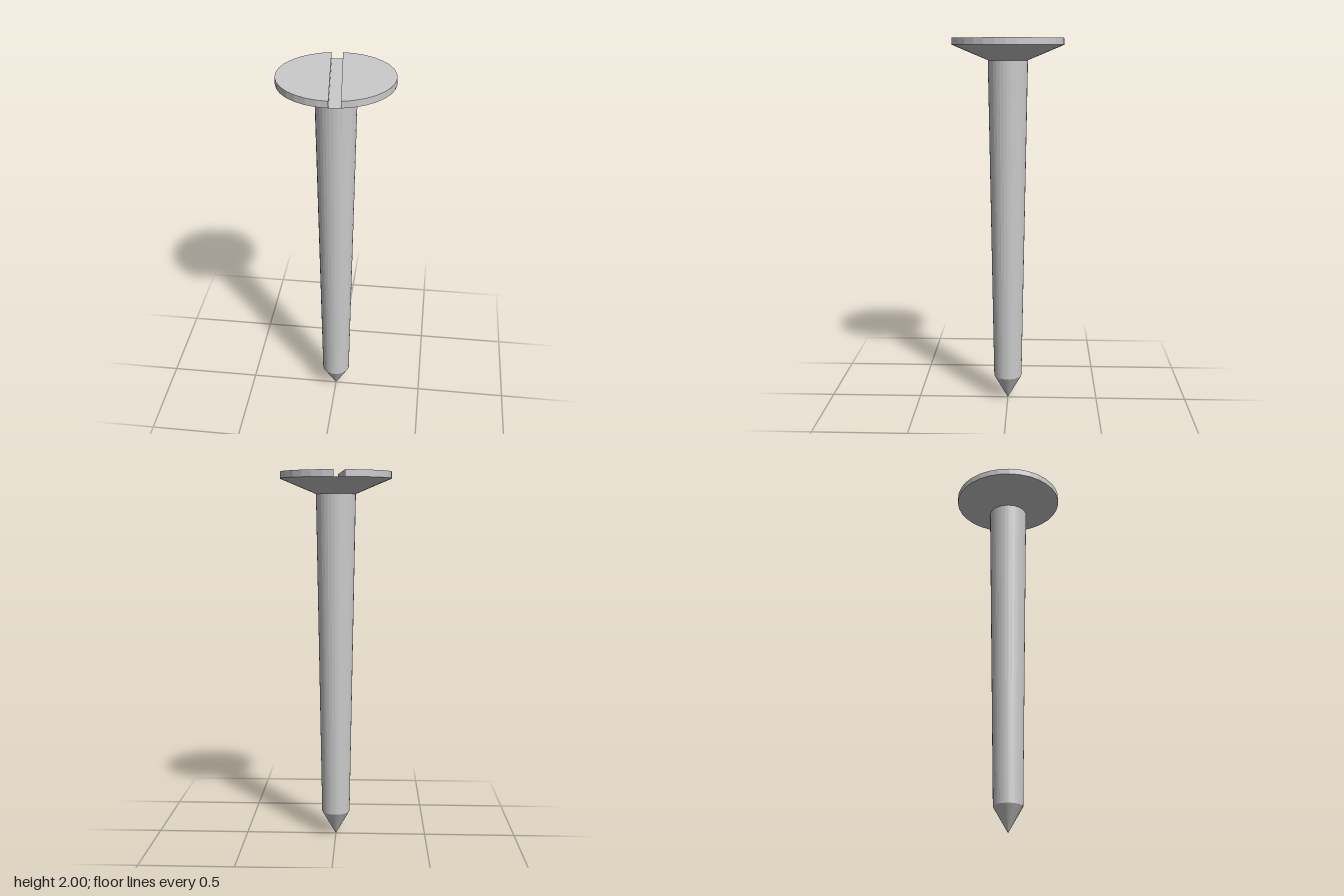
import * as THREE from 'three';

const SIDES = 32;
const HEAD_R = 0.297, SHAFT_R = 0.106, NECK_R = 0.077;
const TOP = 2, RIM = 1.965, NECK = 1.885, POINT = 0.135;

export function createModel() {
  const group = new THREE.Group();
  const metal = new THREE.MeshStandardMaterial({ color: 0xcccccc, flatShading: true });

  const add = (name, geometry, y) => {
    const mesh = new THREE.Mesh(geometry, metal);
    mesh.name = name;
    mesh.position.y = y;
    group.add(mesh);
    return mesh;
  };

  // Tapered round section between two heights
  const section = (name, rTop, rBottom, yTop, yBottom, open) =>
    add(name, new THREE.CylinderGeometry(rTop, rBottom, yTop - yBottom, SIDES, 1, open), (yTop + yBottom) / 2);

  section('tip', NECK_R, 0, POINT, 0, true);
  section('shaft', SHAFT_R, NECK_R, NECK, POINT, true);
  // The countersink's top cap is also the floor of the slot
  section('countersink', HEAD_R, SHAFT_R, RIM, NECK, false);

  // Two half discs leave a slanted slot one rim facet wide
  const points = [];
  for (let k = 1; k <= SIDES / 2; k++) {
    const a = (k / SIDES) * Math.PI * 2;
    points.push(new THREE.Vector2(Math.sin(a) * HEAD_R, -Math.cos(a) * HEAD_R));
  }
  const half = new THREE.ExtrudeGeometry(new THREE.Shape(points), { depth: TOP - RIM, bevelEnabled: false });
  half.rotateX(-Math.PI / 2);
  add('headHalfLeft', half, RIM);
  add('headHalfRight', half, RIM).rotation.y = Math.PI;

  return group;
}
